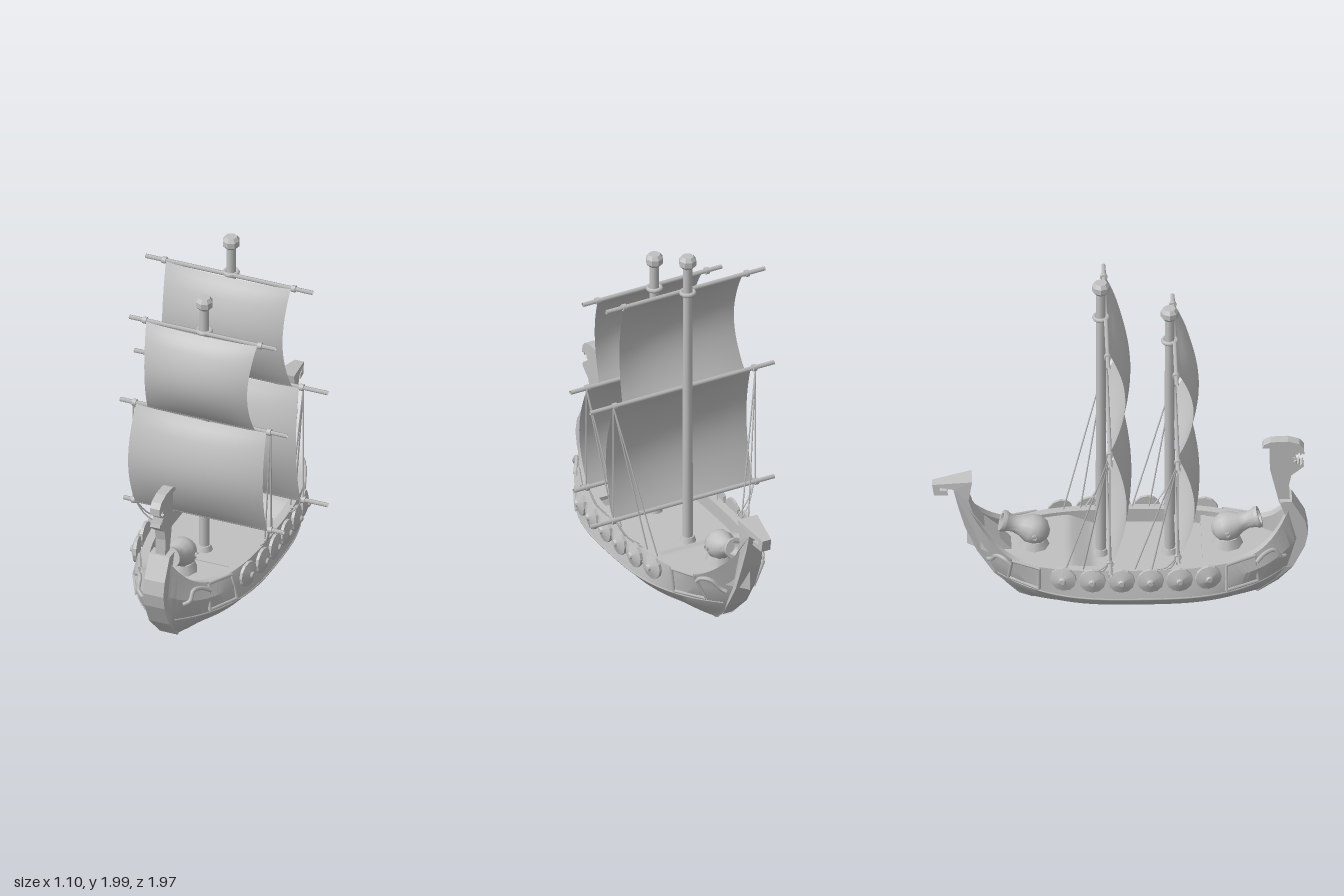
import * as THREE from 'three';
import { toCreasedNormals } from 'three/addons/utils/BufferGeometryUtils.js';

const grey = new THREE.MeshStandardMaterial({ color: 0xc0c0c0, side: THREE.DoubleSide });
grey.name = 'weathered grey';
const V = (x, y, z) => new THREE.Vector3(x, y, z);
const CX = -0.015; // masts and guns sit a touch off the centre line

// Hull levels: height, half width, stern z, bow z, how much of the sheer they follow
const LEVELS = [
  [0.01, 0.02, -0.46, 0.58, 0], [0.05, 0.15, -0.53, 0.73, 0], [0.12, 0.27, -0.6, 0.82, 0],
  [0.2, 0.34, -0.67, 0.89, 0.05], [0.29, 0.325, -0.73, 0.94, 0.3], [0.36, 0.305, -0.8, 0.9, 1],
];
const sheer = (z) => z > 0.5 ? 0.24 * ((z - 0.5) / 0.4) ** 4 : z < -0.5 ? 0.24 * ((-0.5 - z) / 0.3) ** 2 : 0;

function levelPoint([y, w, z0, z1, follow], z) {
  const s = Math.min(1, Math.abs((z - (z0 + z1) / 2) / ((z1 - z0) / 2)));
  const end = Math.min(0.04, w);
  return V(end + (w - end) * (1 - s ** 3), y + follow * sheer(z), z);
}
const deckY = (z) => z > 0.44 ? 0.33 : 0.28 + 0.06 * THREE.MathUtils.clamp((-0.14 - z) / 0.12, 0, 1);

// Point on the topsides, a little proud of the planks (k: 0 = wale, 1 = rail)
function sidePoint(side, z, k, out = 0.008) {
  const f = k * 2, i = Math.min(1, Math.floor(f));
  const p = levelPoint(LEVELS[3 + i], z).lerp(levelPoint(LEVELS[4 + i], z), f - i);
  return V(side * (p.x + out), p.y, p.z);
}

function hullGeometry(side) {
  const N = 64, rows = [];
  for (const level of LEVELS) {
    const row = [];
    for (let i = 0; i <= N; i++) row.push(levelPoint(level, THREE.MathUtils.lerp(level[2], level[3], i / N)));
    rows.push(row);
  }
  const rail = rows[5];
  const inner = rail.map((p) => V(Math.max(0, p.x - 0.045), p.y, p.z));
  const edge = inner.map((p) => V(p.x, Math.min(p.y, deckY(p.z)), p.z));
  rows.push(inner, edge, edge.map((p) => V(0, p.y, p.z)));
  rows.unshift(rows[0].map((p) => V(0, p.y, p.z)));
  const pos = [], idx = [];
  rows.forEach((row) => row.forEach((p) => pos.push(side * p.x, p.y, p.z)));
  for (let j = 0; j < rows.length - 1; j++) for (let i = 0; i < N; i++) {
    const a = j * (N + 1) + i, b = a + 1, c = a + N + 1, d = c + 1;
    if (side > 0) idx.push(a, c, b, b, c, d);
    else idx.push(a, b, c, b, d, c);
  }
  const g = new THREE.BufferGeometry();
  g.setAttribute('position', new THREE.Float32BufferAttribute(pos, 3));
  g.setIndex(idx);
  return toCreasedNormals(g, 0.45);
}

// Flat profile in the z-y plane, given a thickness across x
function profile(points, depth, taper) {
  const shape = new THREE.Shape(points.map(([z, y]) => new THREE.Vector2(z, y)));
  const g = new THREE.ExtrudeGeometry(shape, { depth, bevelEnabled: false });
  g.translate(0, 0, -depth / 2).rotateY(-Math.PI / 2);
  if (taper) {
    const p = g.attributes.position;
    for (let i = 0; i < p.count; i++) p.setX(i, p.getX(i) * taper(p.getZ(i), p.getY(i)));
    g.computeVertexNormals();
  }
  return g;
}

export function createModel() {
  const model = new THREE.Group();
  model.name = 'longship';
  const add = (name, geometry, x = 0, y = 0, z = 0) => {
    const m = new THREE.Mesh(geometry, grey);
    m.name = name;
    m.position.set(x, y, z);
    model.add(m);
    return m;
  };
  const tube = (name, pts, r, n = 10) =>
    add(name, new THREE.TubeGeometry(new THREE.CatmullRomCurve3(pts, false, 'centripetal'), n, r, 5));
  const bar = (name, a, b, r) => tube(name, [a, b], r, 1);

  for (const s of [1, -1]) add(s > 0 ? 'leftHull' : 'rightHull', hullGeometry(s));

  // Bow stem, carved head and stern post
  add('bowStem', profile([[0.72, 0.025], [0.83, 0.1], [0.905, 0.2], [0.968, 0.33], [0.984, 0.41], [0.968, 0.49],
    [0.9, 0.61], [0.835, 0.61], [0.862, 0.53], [0.89, 0.42], [0.89, 0.3], [0.83, 0.19], [0.68, 0.05]], 0.115,
  (z, y) => y < 0.15 ? 0.5 : 1));
  add('carvedHead', profile([[0.89, 0.58], [0.885, 0.7], [0.897, 0.76], [0.94, 0.795], [0.962, 0.815], [0.955, 0.835],
    [0.943, 0.822], [0.937, 0.845], [0.926, 0.828], [0.92, 0.852], [0.905, 0.845], [0.917, 0.866], [0.9, 0.872],
    [0.92, 0.882], [0.912, 0.9], [0.93, 0.89], [0.938, 0.905], [0.945, 0.885], [0.955, 0.9], [0.965, 0.89],
    [0.963, 0.93], [0.94, 0.957], [0.88, 0.975], [0.79, 0.972], [0.755, 0.955], [0.745, 0.935], [0.785, 0.935],
    [0.785, 0.8], [0.81, 0.69], [0.835, 0.58]], 0.055));
  add('sternPost', profile([[-0.56, 0.33], [-0.63, 0.41], [-0.71, 0.48], [-0.77, 0.57], [-0.794, 0.65], [-0.775, 0.767],
    [-0.984, 0.732], [-0.974, 0.665], [-0.902, 0.675], [-0.905, 0.702], [-0.945, 0.698], [-0.948, 0.718],
    [-0.873, 0.712], [-0.85, 0.61], [-0.815, 0.49], [-0.75, 0.333], [-0.66, 0.19], [-0.56, 0.08], [-0.5, 0.1]], 0.115,
  (z, y) => z < -0.8 && y > 0.6 ? THREE.MathUtils.lerp(1, 0.45, (-0.8 - z) / 0.18) : y < 0.15 ? 0.5 : 1));

  for (const s of [1, -1]) {
    // Round shields hung along the rail
    for (let i = 0; i < 6; i++) {
      const z = 0.455 - i * 0.152, p = sidePoint(s, z, 0.7, 0.022);
      const slope = (sidePoint(1, z + 0.02, 0.7).x - sidePoint(1, z - 0.02, 0.7).x) / 0.04;
      const shield = new THREE.Group();
      shield.name = 'shield';
      const parts = [[0.07, 0.07, 0.016, 0], [0.02, 0.07, 0.018, 0.017], [0.014, 0.02, 0.01, 0.031]];
      for (const [rt, rb, h, x] of parts) {
        const g = new THREE.CylinderGeometry(rt, rb, h, 12).rotateZ(-Math.PI / 2);
        const m = new THREE.Mesh(toCreasedNormals(g, 0.3), grey);
        m.name = 'shieldPlate';
        m.position.x = x;
        shield.add(m);
      }
      shield.position.set(p.x, 0.32, z);
      shield.rotation.y = -Math.atan2(-slope, s);
      model.add(shield);
    }
    // Framed panels and curled ornaments at both ends
    for (const [a, b, tip] of [[0.55, 0.7, 0.87], [-0.43, -0.57, -0.7]]) {
      const c = [sidePoint(s, a, 0.97), sidePoint(s, b, 0.97), sidePoint(s, b + (b - a) * 0.12, 0.1), sidePoint(s, a, 0.1)];
      c.forEach((p, i) => bar('panelFrame', p, c[(i + 1) % 4], 0.009));
      const q = (f, k) => sidePoint(s, THREE.MathUtils.lerp(b, tip, f), k, 0.012);
      tube('curledOrnament', [q(0.05, 0.75), q(0.3, 0.85), q(0.6, 0.75), q(0.8, 0.5), q(0.95, 0.4)], 0.012, 14);
    }
    // Wale along the widest part of the hull
    const wale = [];
    for (let i = 0; i <= 16; i++) wale.push(sidePoint(s, -0.64 + i * 0.094, 0, -0.002));
    tube('wale', wale, 0.006, 40);
  }
  add('deckBeam', new THREE.BoxGeometry(0.46, 0.02, 0.025), 0, 0.325, 0.44);

  // Each rig: mast z, mast height, yards [y, left end, right end, z], sails [top, bottom, half width top, bottom, bulge]
  const rigs = [
    { z: -0.1, top: 2, yards: [[1.78, -0.49, 0.46, -0.075], [1.19, -0.55, 0.55, -0.065], [0.5, -0.55, 0.55, -0.065]],
      halves: [[0.355, 0.365], [0.405, 0.415]] },
    { z: 0.26, top: 1.83, yards: [[1.625, -0.43, 0.4, 0.285], [1.11, -0.48, 0.47, 0.292], [0.51, -0.46, 0.45, 0.292]],
      halves: [[0.315, 0.305], [0.37, 0.375]] },
  ];
  for (const { z, top, yards, halves } of rigs) {
    const foot = 0.27;
    add('mast', new THREE.CylinderGeometry(0.025, 0.028, top - 0.06 - foot, 10), CX, (top - 0.06 + foot) / 2, z);
    add('mastFoot', new THREE.CylinderGeometry(0.035, 0.045, 0.03, 10), CX, 0.295, z);
    const cap = [[0, 0], [0.028, 0], [0.047, 0.02], [0.047, 0.05], [0.032, 0.07], [0, 0.07]];
    add('mastCap', toCreasedNormals(new THREE.LatheGeometry(cap.map((p) => new THREE.Vector2(...p)), 8), 0.3),
      CX, top - 0.07, z);
    add('mastCollar', new THREE.TorusGeometry(0.035, 0.012, 6, 12).rotateX(Math.PI / 2), CX, yards[0][0], z);

    yards.forEach(([y, x0, x1, yz], i) => {
      bar('yard', V(x0, y, yz), V(x1, y, yz), 0.012);
      const half = halves[Math.min(i, 1)][i === 2 ? 1 : 0];
      for (const s of [1, -1])
        add('yardLashing', new THREE.CylinderGeometry(0.019, 0.019, 0.022, 8).rotateZ(Math.PI / 2), CX + s * (half + 0.012), y, yz);
    });

    // Billowing sails between neighbouring yards
    halves.forEach(([wTop, wBottom], i) => {
      const [yT, , , zT] = yards[i], [yB, , , zB] = yards[i + 1];
      const g = new THREE.PlaneGeometry(2, 1, 14, 16), p = g.attributes.position;
      for (let k = 0; k < p.count; k++) {
        const u = p.getX(k), v = p.getY(k) + 0.5, belly = Math.sin(Math.PI * v) ** 0.9;
        const w = THREE.MathUtils.lerp(wBottom, wTop, v) + (i ? 0.01 : -0.018) * belly;
        p.setXYZ(k, CX + u * w, THREE.MathUtils.lerp(yB, yT, v) - 0.012 * (1 - u * u) * (v > 0.9 ? 1 : 0),
          THREE.MathUtils.lerp(zB, zT, v) + 0.012 + belly * (0.112 - 0.035 * u * u));
      }
      g.computeVertexNormals();
      add(i ? 'lowerSail' : 'upperSail', g);
    });

    // Rigging lines from the yards down to the rail
    for (const s of [1, -1]) {
      const [, mid, low] = yards, x = halves[1][0] + 0.02;
      const rail = (dz) => sidePoint(s, z + dz, 0.95, -0.02);
      bar('rope', V(CX + s * x, mid[0], mid[3]), V(CX + s * x, low[0], low[3]), 0.004);
      bar('rope', V(CX + s * x, mid[0], mid[3]), rail(-0.19), 0.004);
      bar('rope', V(CX + s * x, mid[0], mid[3]), rail(-0.1), 0.004);
      for (const dz of [-0.08, -0.03]) {
        const end = rail(dz), start = V(CX + s * (x - 0.01), low[0], low[3]);
        tube('rope', [start, start.clone().lerp(end, 0.5).add(V(s * 0.01, -0.02, 0)), end], 0.004, 6);
      }
    }
  }

  // Pot-bellied deck guns, one at each end
  const gun = [[0, -0.085], [0.025, -0.08], [0.062, -0.055], [0.08, -0.01], [0.076, 0.03], [0.052, 0.075], [0.043, 0.11],
    [0.05, 0.15], [0.058, 0.16], [0.058, 0.18], [0.04, 0.18], [0.035, 0.1], [0, 0.1]];
  for (const [z, dir] of [[0.56, 1], [-0.45, -1]]) {
    const g = toCreasedNormals(new THREE.LatheGeometry(gun.map((p) => new THREE.Vector2(...p)), 14), 0.7);
    add('cannon', g, CX, 0.435, z).rotation.x = dir * (Math.PI / 2 - 0.33);
    add('cannonBase', new THREE.CylinderGeometry(0.065, 0.085, 0.05, 8), CX, 0.355, z);
    bar('cannonTrunnion', V(CX - 0.088, 0.435, z), V(CX + 0.088, 0.435, z), 0.015);
  }
  return model;
}
